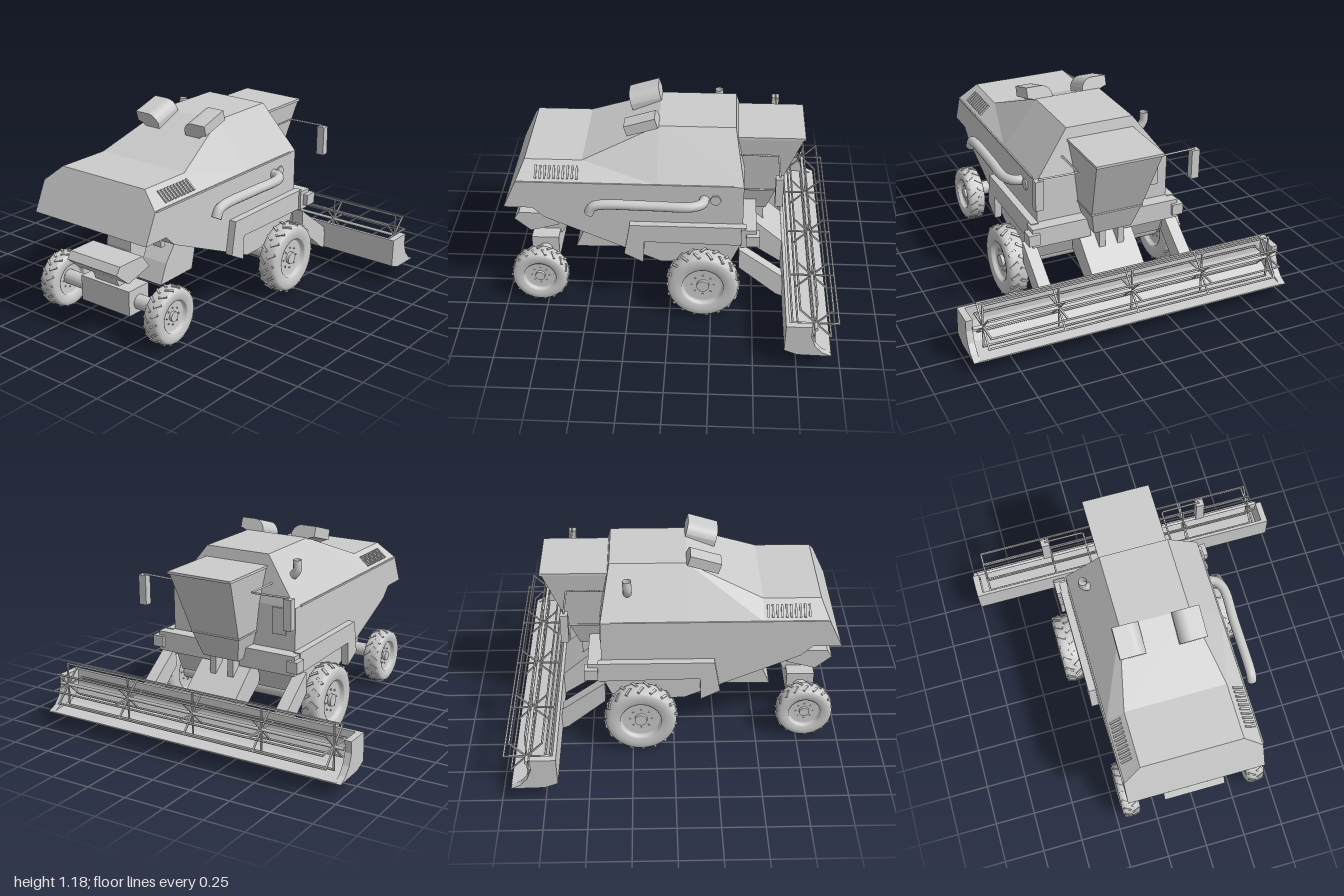
import * as THREE from 'three';
import { mergeGeometries } from 'three/addons/utils/BufferGeometryUtils.js';

const flat = new THREE.MeshStandardMaterial({ color: 0xcccccc, flatShading: true });
const smooth = new THREE.MeshStandardMaterial({ color: 0xcccccc });
const thin = new THREE.MeshStandardMaterial({ color: 0xcccccc, side: THREE.DoubleSide });

function add(parent, name, geo, mat = flat) {
  const m = new THREE.Mesh(geo, mat);
  m.name = name;
  parent.add(m);
  return m;
}
function box(parent, name, x0, x1, y0, y1, z0, z1) {
  const m = add(parent, name, new THREE.BoxGeometry(x1 - x0, y1 - y0, z1 - z0));
  m.position.set((x0 + x1) / 2, (y0 + y1) / 2, (z0 + z1) / 2);
  return m;
}
// side profile given as [z, y], extruded from x0 to x1
function prism(parent, name, pts, x0, x1) {
  const shape = new THREE.Shape(pts.map(([z, y]) => new THREE.Vector2(-z, y)));
  const geo = new THREE.ExtrudeGeometry(shape, { depth: x1 - x0, bevelEnabled: false });
  return add(parent, name, geo.rotateY(Math.PI / 2).translate(x0, 0, 0));
}
// skin over rings of equal point count, with both ends closed
function loft(parent, name, rings) {
  const n = rings[0].length, idx = [];
  for (let r = 0; r < rings.length - 1; r++)
    for (let i = 0; i < n; i++) {
      const a = r * n + i, b = r * n + (i + 1) % n;
      idx.push(a, b, b + n, a, b + n, a + n);
    }
  const e = (rings.length - 1) * n;
  for (let i = 1; i < n - 1; i++) idx.push(0, i + 1, i, e, e + i, e + i + 1);
  let geo = new THREE.BufferGeometry();
  geo.setAttribute('position', new THREE.Float32BufferAttribute(rings.flat(2), 3));
  geo.setIndex(idx);
  geo = geo.toNonIndexed();
  geo.computeVertexNormals();
  return add(parent, name, geo);
}
function tube(parent, name, pts, r, round = false, sides = 6) {
  const v = pts.map(p => new THREE.Vector3(...p));
  let curve;
  if (round) curve = new THREE.CatmullRomCurve3(v, false, 'centripetal');
  else {
    curve = new THREE.CurvePath();
    for (let i = 0; i < v.length - 1; i++) curve.add(new THREE.LineCurve3(v[i], v[i + 1]));
  }
  return add(parent, name, new THREE.TubeGeometry(curve, 40, r, sides), thin);
}
function rod(parent, name, x0, x1, y, z, r, sides = 16) {
  const m = add(parent, name, new THREE.CylinderGeometry(r, r, x1 - x0, sides).rotateZ(Math.PI / 2), smooth);
  m.position.set((x0 + x1) / 2, y, z);
  return m;
}

// tyre with chevron lugs, dished rim, hub and bolts
function wheel(parent, name, x, R, w, z) {
  const g = new THREE.Group();
  g.name = name;
  const half = [[0.5, 0.45], [0.55, 0.55], [0.56, 0.85], [0.6, 0.9], [0.72, 1], [0.85, 0.98], [0.93, 0.85], [0.965, 0.6], [0.975, 0.3]];
  const pts = [[0, 0.45], ...half].map(([r, h]) => new THREE.Vector2(r * R, -h * w));
  const mirrored = pts.map(p => new THREE.Vector2(p.x, -p.y)).reverse();
  add(g, 'tyreAndRim', new THREE.LatheGeometry([...pts, ...mirrored], 40).rotateZ(-Math.PI / 2), smooth);
  const lugs = [], bolts = [];
  for (let i = 0; i < 36; i++) {
    const s = i % 2 ? 1 : -1;
    lugs.push(new THREE.BoxGeometry(w * 0.85, R * 0.06, R * 0.07).rotateZ(-s * 0.12).rotateY(s * 0.6)
      .translate(s * w * 0.45, R * 0.965, 0).rotateX(i * Math.PI / 18));
  }
  for (let i = 0; i < 8; i++)
    bolts.push(new THREE.CylinderGeometry(R * 0.025, R * 0.025, w * 1.1, 6).rotateZ(Math.PI / 2)
      .translate(0, R * 0.3, 0).rotateX(i * Math.PI / 4));
  add(g, 'treadLugs', mergeGeometries(lugs));
  add(g, 'wheelBolts', mergeGeometries(bolts));
  rod(g, 'hub', -w * 0.75, w * 0.75, 0, 0, R * 0.17);
  g.position.set(x, R, z);
  parent.add(g);
}

export function createModel() {
  const root = new THREE.Group();
  root.name = 'combineHarvester';
  const body = new THREE.Group();
  body.name = 'body';
  body.position.x = -0.01;
  root.add(body);

  // lower hull, sloped belly and upper hood
  prism(body, 'hull', [[0.99, 0.655], [0.91, 0.83], [-0.43, 0.83], [-0.43, 0.45], [-0.36, 0.29], [0.06, 0.29], [0.75, 0.59], [0.82, 0.655]], -0.42, 0.42);
  const hood = [[-0.43, -0.375, 1.11, 0.21], [0.08, 0.08, 1.11, 0.21], [0.525, 0.525, 0.925, 0.31], [0.91, 0.865, 0.925, 0.31]];
  loft(body, 'hood', hood.map(([zs, zt, y, h]) => [[0.42, 0.83, zs], [h, y, zt], [-h, y, zt], [-0.42, 0.83, zs]]));

  // cab tapering downward, with overhanging roof
  const cab = [[0.5, 0.12, -0.45, -0.57], [0.655, 0.16, -0.41, -0.625], [1.035, 0.205, -0.38, -0.775]];
  loft(body, 'cab', cab.map(([y, h, b, f]) => [[h, y, b], [h, y, f], [-h, y, f], [-h, y, b]]));
  box(body, 'cabRoof', -0.21, 0.21, 1.03, 1.045, -0.785, -0.37);
  box(body, 'cabSill', -0.165, 0.165, 0.65, 0.66, -0.63, -0.41);
  box(body, 'frontWindow', -0.36, -0.27, 0.66, 0.82, -0.437, -0.42);

  for (const s of [-1, 1]) {
    const X = (a, b) => s > 0 ? [a, b] : [-b, -a];
    box(body, 'sideTrim', ...X(0.418, 0.426), 0.826, 0.836, -0.37, 0.9);
    prism(body, 'fender', [[0.24, 0.575], [-0.45, 0.575], [-0.45, 0.45], [0.155, 0.46], [0.16, 0.31], [0.275, 0.37]], ...X(0.42, 0.465));
    box(body, 'tailLamp', ...X(0.285, 0.345), 0.56, 0.595, 0.74, 0.775);
    // vent louvres on the hood shoulder
    for (let i = 0; i < 10; i++) {
      const m = box(body, 'ventSlat', -0.04, 0.04, -0.006, 0.006, -0.006, 0.006);
      m.position.set(s * 0.372, 0.876, 0.55 + i * 0.027);
      m.rotation.z = -s * 0.71;
    }
    // curved air scoop on the roof
    const scoop = new THREE.Shape();
    scoop.moveTo(0.26, 1.155);
    scoop.lineTo(0.26, 1.09);
    scoop.quadraticCurveTo(0.18, 1.08, 0.18, 0.98);
    scoop.lineTo(0.1, 0.98);
    scoop.lineTo(0.1, 1.1);
    scoop.quadraticCurveTo(0.12, 1.155, 0.17, 1.155);
    const geo = new THREE.ExtrudeGeometry(scoop, { depth: 0.19, bevelEnabled: false, curveSegments: 8 });
    geo.translate(0, -1.12, -0.095).rotateX(0.3);
    const m = add(body, 'airScoop', s > 0 ? geo : geo.rotateY(Math.PI), flat);
    if (s < 0) m.rotation.x = 0.6;
    m.position.set(0, 1.12, 0.18);
    // mirror on its bent arm
    tube(body, 'mirrorArm', [[s * 0.25, 0.95, -0.4], [s * 0.25, 0.95, -0.63], [s * 0.49, 0.955, -0.63], [s * 0.49, 0.86, -0.63]], 0.006);
    box(body, 'mirror', ...X(0.465, 0.515), 0.77, 0.95, -0.65, -0.605);
    // platform and front lift arms
    box(root, 'platform', ...X(0.1, 0.47), 0.45, 0.57, -0.51, -0.42);
    box(root, 'workLamp', ...X(0.43, 0.5), 0.475, 0.545, -0.53, -0.45);
    prism(root, 'liftArm', [[-0.41, 0.45], [-0.67, 0.26], [-0.69, 0.11], [-0.64, 0.13], [-0.41, 0.32]], ...X(0.42, 0.495));
    box(body, 'cabLeg', ...X(0.04, 0.08), 0.34, 0.52, -0.56, -0.49);
    wheel(root, 'frontWheel', s * 0.515, 0.22, 0.064, -0.2);
    wheel(root, 'rearWheel', s * 0.403, 0.175, 0.058, 0.795);
  }

  // exhaust on one side, intake stack on the other
  tube(body, 'exhaust', [[0.38, 0.74, -0.2], [0.46, 0.74, -0.19], [0.5, 0.74, -0.13], [0.5, 0.74, 0.1], [0.5, 0.74, 0.4], [0.5, 0.725, 0.45], [0.5, 0.68, 0.475]], 0.03, true, 14);
  rod(body, 'sidePort', 0.41, 0.43, 0.74, -0.265, 0.034, 6);
  tube(body, 'intakeStack', [[-0.25, 0.95, -0.27], [-0.31, 0.97, -0.27], [-0.34, 1.01, -0.27], [-0.34, 1.07, -0.27]], 0.026, true, 10);

  // axles, rear discharge and straw chopper
  rod(root, 'frontAxle', -0.48, 0.48, 0.22, -0.2, 0.05);
  rod(root, 'rearAxle', -0.38, 0.38, 0.19, 0.795, 0.045);
  box(root, 'rearAxleBeam', -0.19, 0.18, 0.125, 0.28, 0.71, 0.88);
  prism(body, 'rearStrut', [[0.74, 0.58], [0.75, 0.46], [0.88, 0.34], [0.85, 0.27], [0.7, 0.25], [0.63, 0.39], [0.57, 0.52]], -0.09, 0.09);
  prism(body, 'spreader', [[0.98, 0.415], [0.95, 0.46], [0.76, 0.46], [0.7, 0.38], [0.88, 0.33]], -0.19, 0.19);
  prism(body, 'strawChopper', [[0.6, 0.22], [0.31, 0.225], [0.27, 0.4], [0.43, 0.5], [0.55, 0.34]], -0.19, 0.19);

  // feeder house and header trough
  prism(root, 'feeder', [[-0.38, 0.5], [-0.48, 0.46], [-0.7, 0.27], [-0.7, 0.12], [-0.4, 0.32]], -0.17, 0.17);
  const trough = [[-0.68, 0.29], [-0.7, 0.29], [-0.705, 0.2], [-0.73, 0.14], [-0.78, 0.11], [-0.945, 0.09], [-0.945, 0.082], [-0.75, 0.09], [-0.675, 0.12]];
  prism(root, 'headerTrough', trough, -0.97, 0.97);
  const endPlate = [[-0.68, 0.29], [-0.83, 0.29], [-0.825, 0.22], [-0.85, 0.155], [-0.89, 0.11], [-0.945, 0.085], [-0.75, 0.09], [-0.675, 0.12]];
  for (const x of [-1, 0.96]) prism(root, 'headerEnd', endPlate, x, x + 0.04);

  // reel with spoked spiders and tine bars
  const reel = new THREE.Group();
  reel.name = 'reel';
  reel.position.set(0, 0.25, -0.853);
  root.add(reel);
  rod(reel, 'reelShaft', -0.97, 0.97, 0, 0, 0.01, 10);
  for (let i = 0; i < 8; i++) {
    const a = i * Math.PI / 4;
    rod(reel, 'reelBar', -0.915, 0.915, 0.133 * Math.cos(a), 0.133 * Math.sin(a), 0.006, 6);
    for (const x of [-0.91, -0.457, 0, 0.457, 0.91])
      add(reel, 'reelSpoke', new THREE.BoxGeometry(0.01, 0.135, 0.008).translate(x, 0.0675, 0).rotateX(a));
  }
  return root;
}
